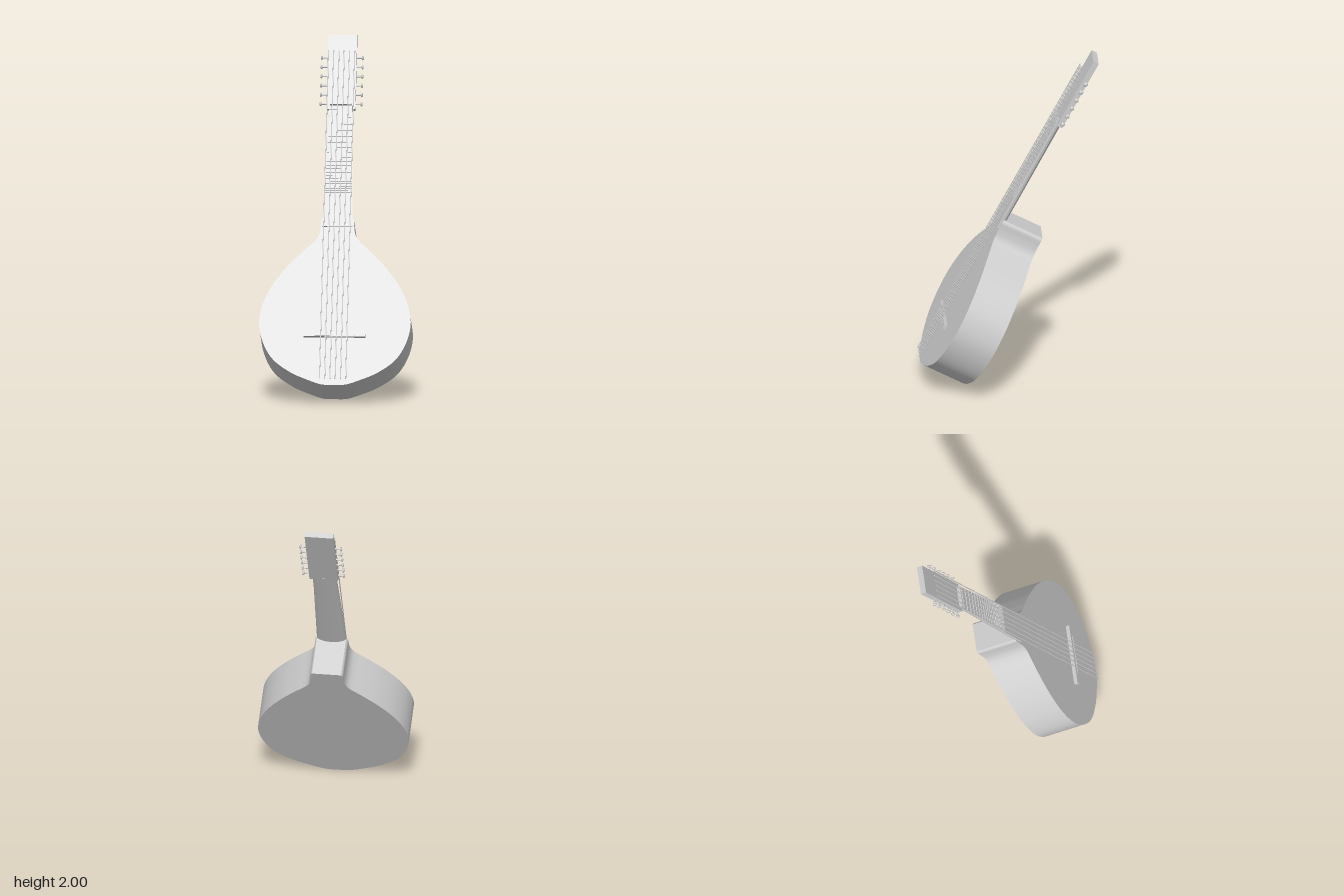
import * as THREE from 'three';
import { toCreasedNormals } from 'three/addons/utils/BufferGeometryUtils.js';

const NECK_START = 0.96, NECK_END = 1.69;

// Half width of the tapering neck at a height along the instrument
function neckHalfWidth(v) {
  return THREE.MathUtils.mapLinear(v, NECK_START, NECK_END, 0.087, 0.066);
}

export function createModel() {
  const grey = new THREE.MeshStandardMaterial({ color: 0xcccccc });
  grey.name = 'light grey';

  // Built upright with the soundboard on z = 0, then leaned back as a whole
  const instrument = new THREE.Group();
  instrument.name = 'instrument';

  function add(name, geometry, x = 0, y = 0, z = 0, parent = instrument) {
    const mesh = new THREE.Mesh(geometry, grey);
    mesh.name = name;
    mesh.position.set(x, y, z);
    parent.add(mesh);
    return mesh;
  }
  function addGroup(name) {
    const group = new THREE.Group();
    group.name = name;
    instrument.add(group);
    return group;
  }

  // Teardrop body: half outline from the bottom to the shoulder, mirrored
  const half = [
    [0.07, 0.003], [0.15, 0.03], [0.25, 0.075], [0.35, 0.15], [0.41, 0.25],
    [0.437, 0.37], [0.418, 0.49], [0.365, 0.605], [0.285, 0.715], [0.2, 0.805],
    [0.13, 0.872], [0.106, 0.91], [0.097, 0.955], [0.094, 1.0], [0.084, 1.016],
  ];
  const right = half.map(([x, y]) => new THREE.Vector2(x, y));
  const left = half.map(([x, y]) => new THREE.Vector2(-x, y)).reverse();
  const outline = new THREE.Shape();
  outline.moveTo(0, 0);
  outline.splineThru(right);
  outline.lineTo(left[0].x, left[0].y);
  outline.splineThru([...left.slice(1), new THREE.Vector2(0, 0)]);
  const bodyGeometry = new THREE.ExtrudeGeometry(outline, { depth: 0.255, bevelEnabled: false, curveSegments: 64 });
  add('body', toCreasedNormals(bodyGeometry, 0.7), 0, 0, -0.255);

  // Neck with a rounded back, tapering to the headstock
  const neckSection = new THREE.Shape();
  neckSection.absellipse(0, 0, 1, 0.032, 0, Math.PI, false);
  const neckGeometry = new THREE.ExtrudeGeometry(neckSection, { depth: NECK_END - 1.0, bevelEnabled: false, curveSegments: 20 });
  neckGeometry.rotateX(-Math.PI / 2).translate(0, 1.0, 0);
  const p = neckGeometry.attributes.position;
  for (let i = 0; i < p.count; i++) p.setX(i, p.getX(i) * neckHalfWidth(p.getY(i)));
  add('neck', toCreasedNormals(neckGeometry, 0.7));

  // Fingerboard lying over the neck and the top of the body
  const w0 = neckHalfWidth(NECK_START), w1 = neckHalfWidth(NECK_END);
  const board = new THREE.Shape([
    new THREE.Vector2(-w0, NECK_START), new THREE.Vector2(w0, NECK_START),
    new THREE.Vector2(w1, NECK_END), new THREE.Vector2(-w1, NECK_END),
  ]);
  add('fingerboard', new THREE.ExtrudeGeometry(board, { depth: 0.012, bevelEnabled: false }));

  // Frets, closer together toward the body
  const frets = addGroup('frets');
  let fretY = 1.672, gap = 0.046;
  for (let i = 0; i < 21; i++) {
    add('fret', new THREE.BoxGeometry(2 * neckHalfWidth(fretY) - 0.006, 0.005, 0.008), 0, fretY, 0.014, frets);
    fretY -= gap;
    gap *= 0.93;
  }

  // Headstock and nut
  add('headstock', new THREE.BoxGeometry(0.166, 0.45, 0.034), 0, 1.902, -0.014);
  add('nut', new THREE.BoxGeometry(0.125, 0.009, 0.024), 0, 1.703, 0.012);

  // Tuning pegs, six on each side
  const pegs = addGroup('tuningPegs');
  const shaft = new THREE.CylinderGeometry(0.005, 0.005, 0.045, 10).rotateZ(Math.PI / 2);
  const knob = new THREE.SphereGeometry(0.013, 14, 10).scale(0.5, 1, 1);
  for (const side of [-1, 1]) {
    for (let i = 0; i < 6; i++) {
      const y = 1.712 + i * 0.0562;
      add('pegShaft', shaft, side * 0.098, y, -0.015, pegs);
      add('pegKnob', knob, side * 0.118, y, -0.015, pegs);
    }
  }

  // Bridge and saddle
  add('bridge', new THREE.BoxGeometry(0.356, 0.028, 0.022), 0, 0.302, 0.011);
  add('saddle', new THREE.BoxGeometry(0.23, 0.006, 0.006), 0, 0.293, 0.023);

  // Six strings from the tail to the headstock
  const strings = addGroup('strings');
  const stringGeometry = new THREE.CylinderGeometry(0.003, 0.003, 1.995, 8);
  for (let i = 0; i < 6; i++) {
    add('string', stringGeometry, -0.079 + i * 0.0303, 1.0275, 0.024, strings);
  }

  // Lean back so the lowest edge rests on the ground
  instrument.rotation.x = THREE.MathUtils.degToRad(-28);
  instrument.position.set(0, 0.12, 0.512);
  const model = new THREE.Group();
  model.name = 'lute';
  model.add(instrument);
  return model;
}
